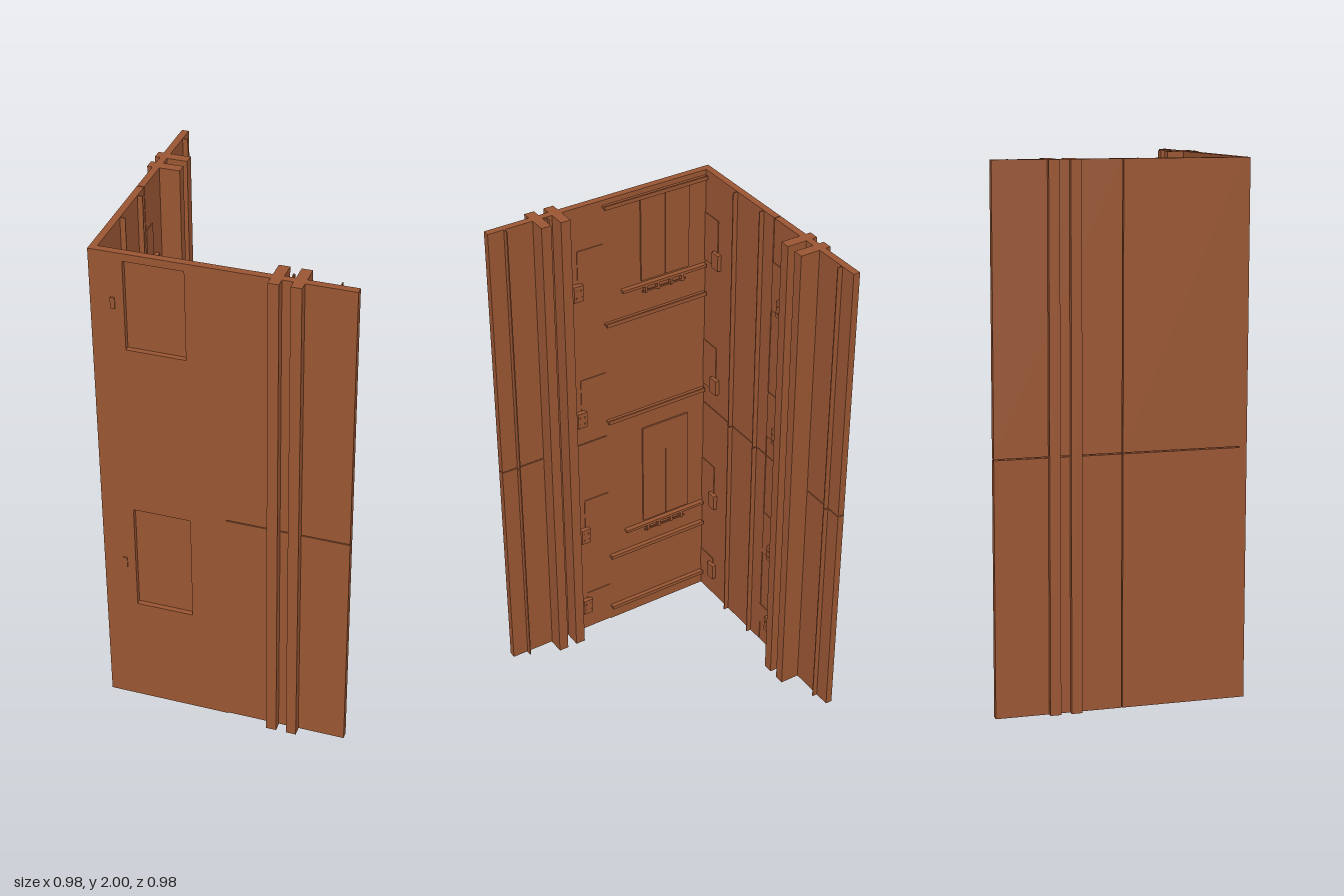
import * as THREE from 'three';

const brown = new THREE.MeshStandardMaterial({ color: 0x9a5633 });

export function createModel() {
  const model = new THREE.Group();

  // Box given by its lower and upper limits on each axis
  const box = (name, x0, x1, y0, y1, z0, z1) => {
    const mesh = new THREE.Mesh(new THREE.BoxGeometry(x1 - x0, y1 - y0, z1 - z0), brown);
    mesh.position.set((x0 + x1) / 2, (y0 + y1) / 2, (z0 + z1) / 2);
    mesh.name = name;
    model.add(mesh);
    return mesh;
  };
  const storeys = [[0, 0.948], [0.952, 2]];
  const hinges = [0.128, 0.5, 1.075, 1.648];
  const sheetTops = [0.19, 0.67, 1.25, 1.82];

  // Front wall: a full-height leaf with two window openings
  const wall = new THREE.Shape();
  wall.moveTo(-0.47, 0).lineTo(0.018, 0).lineTo(0.018, 2).lineTo(-0.47, 2).closePath();
  const windows = [[0.465, 0.915], [1.615, 1.97]];
  for (const [b, t] of windows) {
    const hole = new THREE.Path();
    hole.moveTo(-0.345, b).lineTo(-0.345, t).lineTo(-0.122, t).lineTo(-0.122, b).closePath();
    wall.holes.push(hole);
  }
  const leaf = new THREE.Mesh(new THREE.ExtrudeGeometry(wall, { depth: 0.028, bevelEnabled: false }), brown);
  leaf.position.z = 0.428;
  leaf.name = 'frontWallLeaf';
  model.add(leaf);

  // Wall panels with narrow gaps between storeys and leaves
  for (const [b, t] of storeys) {
    box('frontWallPanel', 0.018, 0.487, b ? b : 0.004, t, 0.428, 0.456);
    box('sideWallPanel', -0.47, -0.443, b, t, -0.017, 0.428);
    box('sideWallPanel', -0.47, -0.443, b, t, -0.494, -0.021);
    // Thin upright ribs on the inner faces
    for (const z of [0.218, 0.048, -0.428])
      box('sideRib', -0.443, -0.423, b, t, z - 0.002, z + 0.002);
    box('frontRib', 0.249, 0.253, b, t, 0.41, 0.428);
    box('frontRibCap', 0.247, 0.255, b, t, 0.404, 0.411);
    box('frontRib', 0.418, 0.422, b, t, 0.407, 0.428);
  }

  // Paired posts crossing each wall
  for (const x of [0.184, 0.264]) box('frontPost', x, x + 0.04, 0, 2, 0.363, 0.49);
  for (const z of [-0.295, -0.215]) box('sidePost', -0.49, -0.364, 0, 2, z, z + 0.04);

  // Hinge blocks with mounting sheets
  hinges.forEach((y, i) => {
    const top = sheetTops[i];
    const b = y - 0.033, t = y + 0.035;
    box('cornerHinge', -0.443, -0.427, b, t, 0.317, 0.36);
    box('cornerHingeSheet', -0.443, -0.44, b, top, 0.338, 0.428);
    box('sideHinge', -0.443, -0.427, b, t, -0.113, -0.07);
    box('sideHingeSheet', -0.443, -0.44, b, top, -0.085, -0.021);
    box('frontHinge', 0.113, 0.153, b, t, 0.409, 0.428);
    box('frontHingeSheet', 0.017, 0.128, b, top, 0.425, 0.428);
    // Rivets on the hinge faces
    for (const dy of [-0.015, 0.015]) for (const d of [-0.01, 0.01]) {
      box('sideRivet', -0.427, -0.425, y + dy - 0.003, y + dy + 0.003, d - 0.094, d - 0.088);
      box('frontRivet', 0.13 + d, 0.136 + d, y + dy - 0.003, y + dy + 0.003, 0.407, 0.409);
    }
  });

  // Horizontal rails on the inside of the front leaf
  for (const y of [0.07, 0.34, 1.02, 1.47, 1.975]) {
    box('railWeb', -0.437, 0.015, y - 0.004, y + 0.004, 0.412, 0.428);
    box('railFlange', -0.437, 0.015, y - 0.008, y + 0.008, 0.406, 0.413);
  }

  // Window panes, inner shutters, sills and latches
  for (const [b, t] of windows) {
    box('windowPane', -0.345, -0.122, b, t, 0.428, 0.436);
    for (const x of [-0.364, -0.255]) box('shutter', x, x + 0.107, b - 0.004, Math.min(t + 0.01, 1.965), 0.421, 0.428);
    box('sill', -0.437, -0.06, b - 0.026, b - 0.014, 0.408, 0.428);
    box('sillBar', -0.345, -0.15, b - 0.052, b - 0.046, 0.414, 0.42);
    for (const x of [-0.33, -0.28, -0.22, -0.165]) box('sillBracket', x - 0.005, x + 0.005, b - 0.055, b - 0.026, 0.412, 0.428);
  }

  // Small outside pulls beside the windows
  for (const y of [0.66, 1.8]) box('pull', -0.395, -0.378, y - 0.022, y + 0.022, 0.456, 0.46);

  return model;
}
